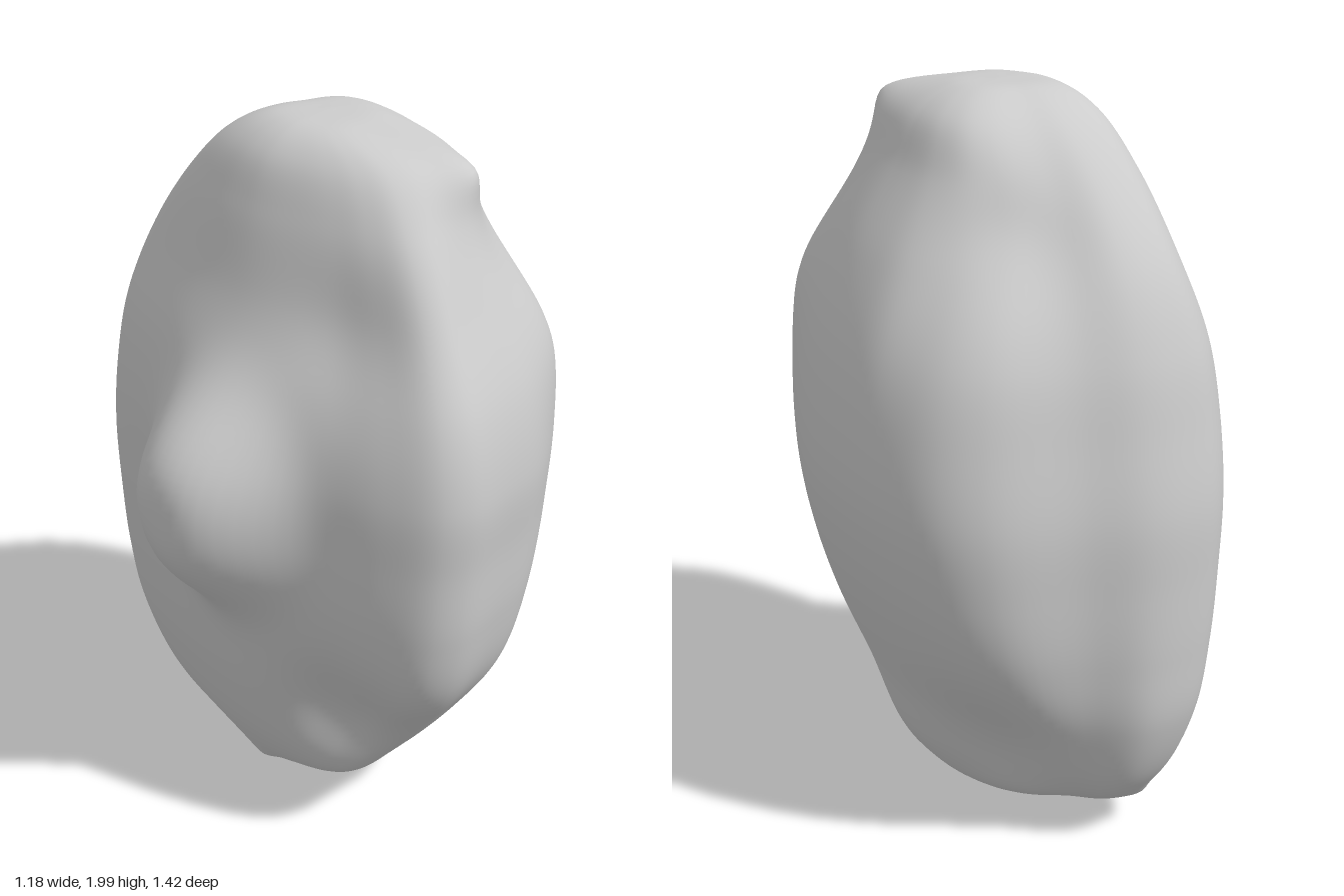
import * as THREE from 'three';
import { mergeVertices } from 'three/addons/utils/BufferGeometryUtils.js';

// Widest horizontal outline [x, z], clockwise seen from above, starting at the back
const OUTLINE = [
  [-0.07, -0.71], [0.05, -0.7], [0.2, -0.635], [0.41, -0.565], [0.52, -0.46], [0.58, -0.28],
  [0.59, -0.1], [0.57, 0.08], [0.51, 0.27], [0.43, 0.44], [0.3, 0.56], [0.16, 0.65], [0.02, 0.685],
  [-0.12, 0.71], [-0.21, 0.67], [-0.28, 0.55], [-0.325, 0.4], [-0.36, 0.22], [-0.385, 0.02],
  [-0.385, -0.18], [-0.36, -0.34], [-0.325, -0.48], [-0.27, -0.6], [-0.18, -0.685],
];

// Levels: y, x min, x max, z min, z max, sideways lean of the front
const LEVELS = [
  [0.045, -0.09, 0.13, -0.22, 0.07, 0], [0.1, -0.18, 0.27, -0.48, 0.22, 0],
  [0.2, -0.25, 0.35, -0.6, 0.33, 0], [0.4, -0.32, 0.42, -0.685, 0.5, 0],
  [0.6, -0.36, 0.5, -0.705, 0.63, 0], [0.8, -0.38, 0.56, -0.71, 0.68, 0],
  [1.0, -0.39, 0.59, -0.71, 0.697, 0], [1.2, -0.39, 0.58, -0.68, 0.71, 0],
  [1.4, -0.36, 0.54, -0.64, 0.67, 0], [1.6, -0.29, 0.46, -0.56, 0.565, 0],
  [1.8, -0.235, 0.34, -0.41, 0.44, 0.04], [1.93, -0.18, 0.27, -0.27, 0.31, 0.08],
  [1.99, -0.1, 0.17, -0.15, 0.13, 0.1],
];

// Local pulls: centre, push, radii, falloff power
const PULLS = [
  { at: [-0.39, 1.06, 0.04], push: [-0.205, 0, 0], size: [0.5, 0.29, 0.22], power: 1.6 }, // side knob
  { at: [0.11, 1.92, 0.31], push: [0.04, 0.01, 0.09], size: [0.12, 0.13, 0.12], power: 0.8 }, // top horn
  { at: [-0.13, 0.05, -0.11], push: [-0.01, -0.055, 0], size: [0.07, 0.08, 0.09], power: 0.7 }, // bottom tip
  { at: [-0.11, 0.1, -0.48], push: [0, 0, -0.055], size: [0.09, 0.05, 0.07], power: 0.7 }, // rear tip
  { at: [0.36, 1.52, -0.33], push: [-0.04, 0, 0.02], size: [0.15, 0.22, 0.12], power: 1 }, // side hollow
  { at: [0.26, 1.66, -0.42], push: [-0.04, 0, 0.04], size: [0.16, 0.2, 0.16], power: 1 }, // upper rear corner
  { at: [0.34, 0.24, -0.46], push: [-0.07, 0, 0.07], size: [0.2, 0.26, 0.2], power: 1 }, // lower rear corner
  { at: [-0.26, 1.54, 0.4], push: [0.04, 0, -0.04], size: [0.14, 0.22, 0.2], power: 1 }, // upper front corner
  { at: [-0.25, 0.38, 0.38], push: [0.08, 0, -0.08], size: [0.2, 0.27, 0.2], power: 1 }, // lower front corner
  { at: [0.28, 1.46, 0.42], push: [0.03, 0, 0.035], size: [0.2, 0.22, 0.18], power: 1 }, // front shoulder
];

function applyPulls(p) {
  const offset = new THREE.Vector3();
  for (const { at, push, size, power } of PULLS) {
    const r2 = ((p.x - at[0]) / size[0]) ** 2 + ((p.y - at[1]) / size[1]) ** 2 + ((p.z - at[2]) / size[2]) ** 2;
    offset.addScaledVector(new THREE.Vector3(...push), Math.exp(-(r2 ** power)));
  }
  return p.add(offset);
}

function createRockGeometry(columns = 144, rows = 120) {
  const outline = new THREE.CatmullRomCurve3(OUTLINE.map(([x, z]) => new THREE.Vector3(x, 0, z)), true);
  const positions = [];
  const indices = [];
  for (let i = 0; i < columns; i++) {
    const o = outline.getPoint(i / columns);
    // One vertical spline per outline point, from bottom pole to top pole
    const points = LEVELS.map(([y, x0, x1, z0, z1, lean]) => {
      const z = o.z * (o.z < 0 ? z0 / -0.71 : z1 / 0.71);
      const x = o.x * (o.x < 0 ? x0 / -0.39 : x1 / 0.59) + lean * Math.max(z, 0);
      return new THREE.Vector3(x, y, z);
    });
    points.unshift(new THREE.Vector3(0, 0.045, -0.08));
    points.push(new THREE.Vector3(0.04, 2, -0.02));
    const spline = new THREE.CatmullRomCurve3(points);
    for (let j = 0; j <= rows; j++) {
      const p = applyPulls(spline.getPoint(j / rows));
      positions.push(p.x, p.y, p.z);
    }
  }
  const at = (i, j) => (i % columns) * (rows + 1) + j;
  for (let i = 0; i < columns; i++) {
    for (let j = 0; j < rows; j++) {
      const a = at(i, j), b = at(i + 1, j), c = at(i, j + 1), d = at(i + 1, j + 1);
      if (j > 0) indices.push(b, a, c);
      if (j < rows - 1) indices.push(b, c, d);
    }
  }
  let geometry = new THREE.BufferGeometry();
  geometry.setAttribute('position', new THREE.Float32BufferAttribute(positions, 3));
  geometry.setIndex(indices);
  geometry = mergeVertices(geometry, 1e-5);
  geometry.computeVertexNormals();
  return geometry;
}

export function createModel() {
  const group = new THREE.Group();
  group.name = 'rock';
  const boulder = new THREE.Mesh(createRockGeometry(), new THREE.MeshStandardMaterial({ color: 0xcccccc }));
  boulder.name = 'boulder';
  group.add(boulder);
  return group;
}
